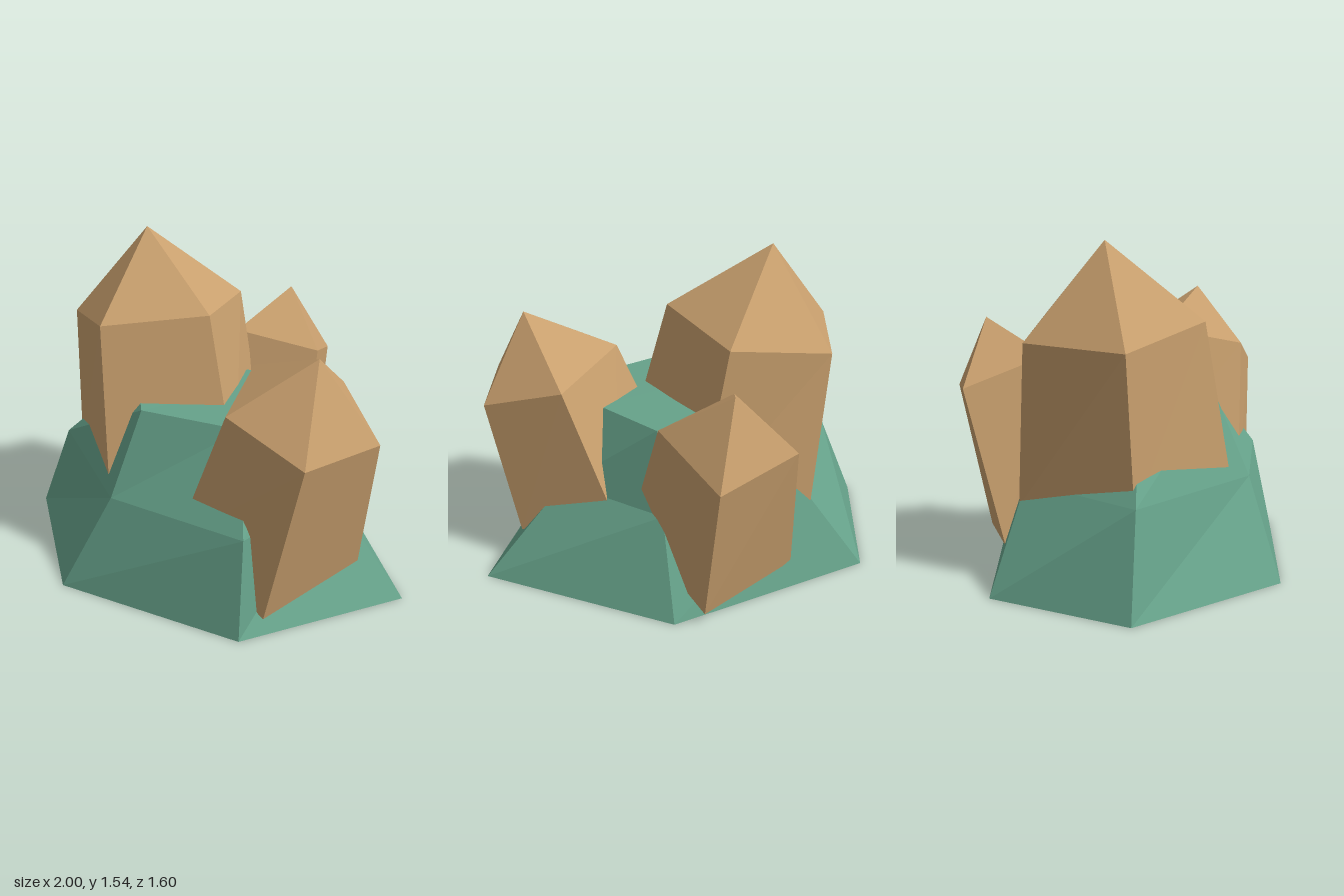
import * as THREE from 'three';

// Flat-faced solid through rings of [x, y, z] points, listed bottom to top,
// each running counter-clockwise seen from above. The top closes in a tip or a flat cap.
function facetedSolid(name, material, rings, tip) {
  const positions = [];
  const tri = (a, b, c) => positions.push(...a, ...b, ...c);
  const centre = (ring) => [0, 1, 2].map((k) => ring.reduce((s, p) => s + p[k], 0) / ring.length);
  const n = rings[0].length;
  const bottom = rings[0];
  const top = rings[rings.length - 1];
  const low = centre(bottom);
  const high = tip || centre(top);

  for (let i = 0; i < n; i++) {
    const j = (i + 1) % n;
    tri(low, bottom[j], bottom[i]);
    for (let r = 0; r < rings.length - 1; r++) {
      const [a, b] = [rings[r], rings[r + 1]];
      tri(a[i], a[j], b[j]);
      tri(a[i], b[j], b[i]);
    }
    tri(top[i], top[j], high);
  }

  const geometry = new THREE.BufferGeometry();
  geometry.setAttribute('position', new THREE.Float32BufferAttribute(positions, 3));
  geometry.computeVertexNormals();
  const mesh = new THREE.Mesh(geometry, material);
  mesh.name = name;
  return mesh;
}

export function createModel() {
  const stone = new THREE.MeshStandardMaterial({ color: 0x66a28a, flatShading: true });
  stone.name = 'green stone';
  const crystal = new THREE.MeshStandardMaterial({ color: 0xc9a06e, flatShading: true });
  crystal.name = 'tan crystal';

  const group = new THREE.Group();
  group.name = 'crystalCluster';

  // Six-sided rock: wide foot, shoulder and flat top
  group.add(facetedSolid('baseRock', stone, [
    [[-1, 0, -0.02], [-0.51, 0, 0.69], [0.42, 0, 0.8], [1, 0, 0.2], [0.4, 0, -0.58], [-0.63, 0, -0.62]],
    [[-0.82, 0.45, 0.01], [-0.3, 0.45, 0.57], [0.4, 0.45, 0.7], [0.61, 0.45, 0.12], [0.34, 0.45, -0.37], [-0.36, 0.45, -0.46]],
    [[-0.4, 0.85, 0.05], [-0.21, 0.84, 0.41], [0.28, 0.83, 0.41], [0.42, 0.83, 0.1], [0.3, 0.83, -0.25], [-0.2, 0.84, -0.2]],
  ]));

  // Tall crystal, five sides
  group.add(facetedSolid('tallCrystal', crystal, [
    [[-0.74, 0.4, 0.01], [-0.34, 0.32, 0.5], [0.19, 0.5, 0.25], [0.12, 0.4, -0.32], [-0.4, 0.35, -0.49]],
    [[-0.76, 1.1, -0.03], [-0.44, 1.19, 0.34], [0.02, 1.24, 0.15], [-0.02, 1.19, -0.35], [-0.5, 1.11, -0.46]],
  ], [-0.4, 1.545, -0.1]));

  // Leaning side crystal, five sides
  group.add(facetedSolid('sideCrystal', crystal, [
    [[0.02, 0.42, 0.1], [0.03, 0.32, 0.57], [0.49, 0.06, 0.68], [0.79, 0.18, 0.24], [0.46, 0.32, -0.14]],
    [[0.26, 1.06, 0.21], [0.28, 0.98, 0.61], [0.67, 0.84, 0.71], [0.89, 0.84, 0.35], [0.63, 0.97, 0.04]],
  ], [0.63, 1.23, 0.43]));

  // Leaning back crystal, four sides
  group.add(facetedSolid('backCrystal', crystal, [
    [[-0.25, 0.11, -0.56], [-0.15, 0.3, -0.12], [0.39, 0.3, -0.15], [0.28, 0.06, -0.65]],
    [[-0.13, 0.84, -0.75], [-0.04, 0.98, -0.36], [0.37, 0.92, -0.39], [0.3, 0.78, -0.8]],
  ], [0.14, 1.14, -0.65]));

  return group;
}
